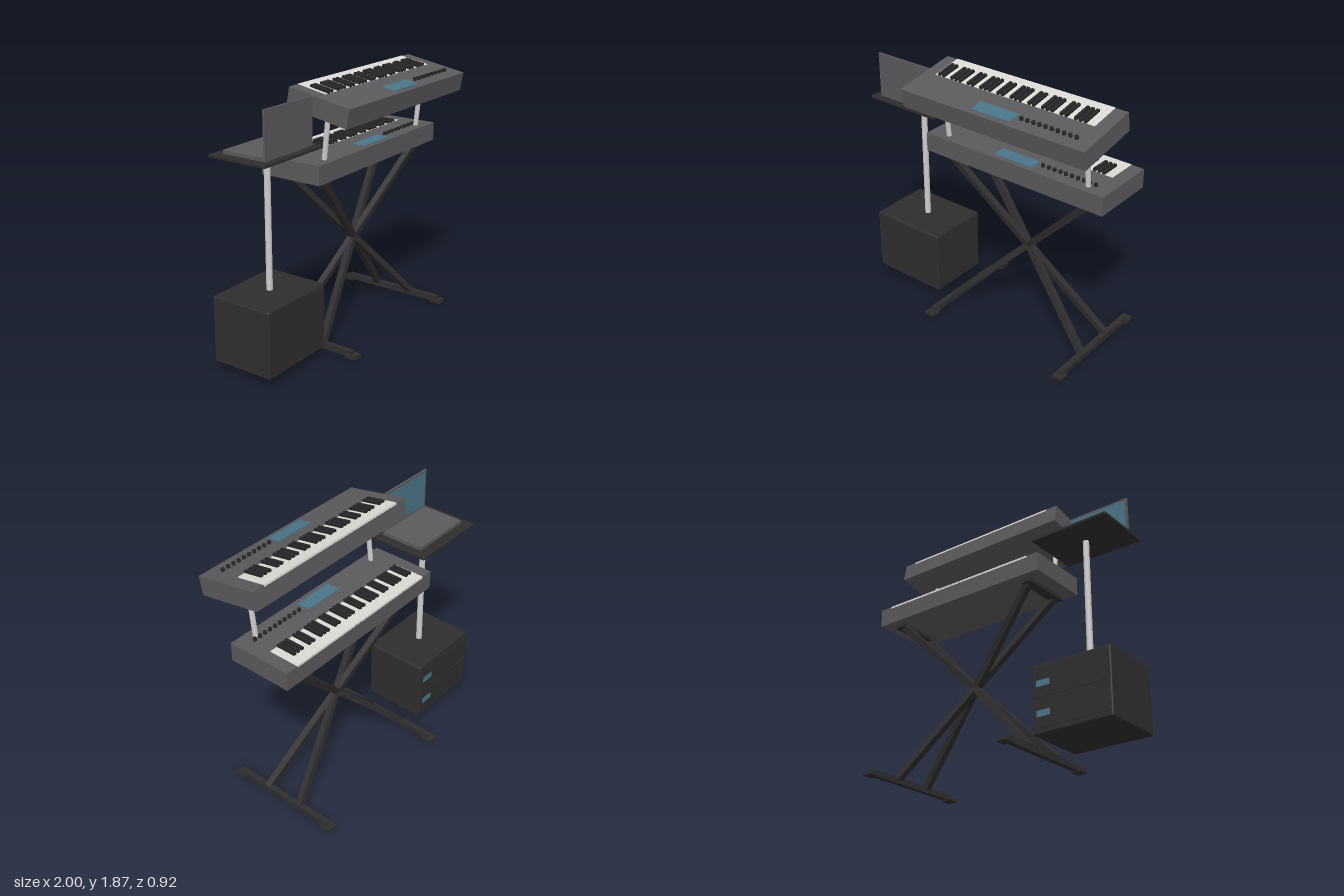
import * as THREE from 'three';
import { RoundedBoxGeometry } from 'three/addons/geometries/RoundedBoxGeometry.js';

const paint = (name, color) => {
  const m = new THREE.MeshStandardMaterial({ color });
  m.name = name;
  return m;
};

export function createModel() {
  const body = paint('charcoal casing', 0x5a5a5c);
  const dark = paint('black metal', 0x2e2e2e);
  const ebony = paint('black keys', 0x262626);
  const ivory = paint('white keys', 0xdcdad5);
  const chrome = paint('light metal', 0xcccccc);
  const glass = paint('blue display', 0x4a7488);

  const model = new THREE.Group();
  model.name = 'keyboardStation';

  const add = (parent, name, geometry, material, x = 0, y = 0, z = 0) => {
    const mesh = new THREE.Mesh(geometry, material);
    mesh.name = name;
    mesh.position.set(x, y, z);
    parent.add(mesh);
    return mesh;
  };
  // Box given by its lower and upper limits on each axis
  const span = (parent, name, mat, x0, x1, y0, y1, z0, z1) =>
    add(parent, name, new THREE.BoxGeometry(x1 - x0, y1 - y0, z1 - z0), mat,
      (x0 + x1) / 2, (y0 + y1) / 2, (z0 + z1) / 2);
  // Turns a mesh so that its long y axis joins two points
  const join = (mesh, a, b) => {
    mesh.position.copy(a).add(b).multiplyScalar(0.5);
    mesh.quaternion.setFromUnitVectors(new THREE.Vector3(0, 1, 0), b.clone().sub(a).normalize());
    return mesh;
  };

  // Keyboard with 36 white keys; its origin is the centre of the casing
  const WIDTH = 1.46, DEPTH = 0.48, HEIGHT = 0.135, MID = 0.27;
  function makeKeyboard(name) {
    const g = new THREE.Group();
    g.name = name;
    const top = HEIGHT / 2;
    add(g, 'casing', new THREE.BoxGeometry(WIDTH, HEIGHT, DEPTH), body);
    const pitch = 1.275 / 36, first = -0.37 - MID;
    for (let i = 0; i < 36; i++) {
      const x = first + i * pitch;
      span(g, 'whiteKey', ivory, x + 0.0005, x + pitch - 0.0005, top - 0.012, top + 0.003, -DEPTH / 2 - 0.0005, -0.012);
      if (i < 35 && [0, 1, 3, 4, 5].includes(i % 7)) {
        const c = x + pitch;
        span(g, 'blackKey', ebony, c - 0.0105, c + 0.0105, top, top + 0.02, -0.158, -0.012);
      }
    }
    span(g, 'display', glass, 0.115 - MID, 0.42 - MID, top, top + 0.005, 0.103, 0.203);
    for (let i = 0; i < 10; i++) {
      add(g, 'knob', new THREE.CylinderGeometry(0.013, 0.013, 0.02, 16), ebony,
        0.47 - MID + i * 0.0457, top + 0.01, 0.143);
    }
    model.add(g);
    return g;
  }
  makeKeyboard('lowerKeyboard').position.set(MID, 1.3075, -0.008);
  const upper = makeKeyboard('upperKeyboard');
  upper.position.set(MID, 1.758, 0.219);
  upper.rotation.x = 0.182;

  // Stand: feet, cradle bars and posts on each side
  const stand = new THREE.Group();
  stand.name = 'stand';
  model.add(stand);
  const CX = 0.267;
  for (const s of [-1, 1]) {
    const x = CX + s * 0.578;
    span(stand, 'footBar', dark, x - 0.021, x + 0.021, 0.005, 0.047, -0.411, 0.401);
    for (const z of [-0.413, 0.403]) {
      span(stand, 'footPad', dark, x - 0.037, x + 0.037, 0, 0.024, z - 0.042, z + 0.042);
    }
    const cx = CX + s * 0.589;
    span(stand, 'cradleBar', dark, cx - 0.037, cx + 0.037, 1.21, 1.24, -0.198, 0.19);
    join(add(stand, 'upperPost', new THREE.CylinderGeometry(0.018, 0.018, 0.33, 24), chrome),
      new THREE.Vector3(x, 1.372, 0.165), new THREE.Vector3(x, 1.7, 0.199));

    // Two crossing legs on this diagonal
    for (const t of [-1, 1]) {
      const a = new THREE.Vector3(CX - s * 0.578, 0.04, t * 0.148);
      const b = new THREE.Vector3(CX + s * 0.578, 1.225, -t * 0.148);
      join(add(stand, 'crossLeg', new THREE.BoxGeometry(0.045, a.distanceTo(b), 0.045), dark), a, b);
    }
  }

  // Cabinet with two drawers at the back
  const cabinet = new THREE.Group();
  cabinet.name = 'cabinet';
  model.add(cabinet);
  add(cabinet, 'cabinetBody', new RoundedBoxGeometry(0.6, 0.475, 0.473, 3, 0.012), dark, -0.7, 0.303, -0.006);
  for (const y of [0.2, 0.405]) {
    span(cabinet, 'drawerFront', dark, -0.985, -0.415, y - 0.095, y + 0.095, -0.247, -0.24);
    span(cabinet, 'drawerLabel', glass, -0.54, -0.44, y - 0.022, y + 0.022, -0.251, -0.246);
  }

  // Pole, tray and open laptop
  add(model, 'trayPole', new THREE.CylinderGeometry(0.022, 0.022, 0.95, 32), chrome, -0.7, 1.012, -0.004);
  add(model, 'tray', new RoundedBoxGeometry(0.6, 0.023, 0.45, 2, 0.006), dark, -0.7, 1.493, -0.004);
  const laptop = new THREE.Group();
  laptop.name = 'laptop';
  model.add(laptop);
  span(laptop, 'laptopBase', body, -0.94, -0.46, 1.504, 1.53, -0.157, 0.178);
  span(laptop, 'laptopLid', body, -0.94, -0.46, 1.53, 1.83, 0.166, 0.18);
  span(laptop, 'laptopScreen', glass, -0.922, -0.478, 1.548, 1.812, 0.163, 0.167);

  return model;
}
